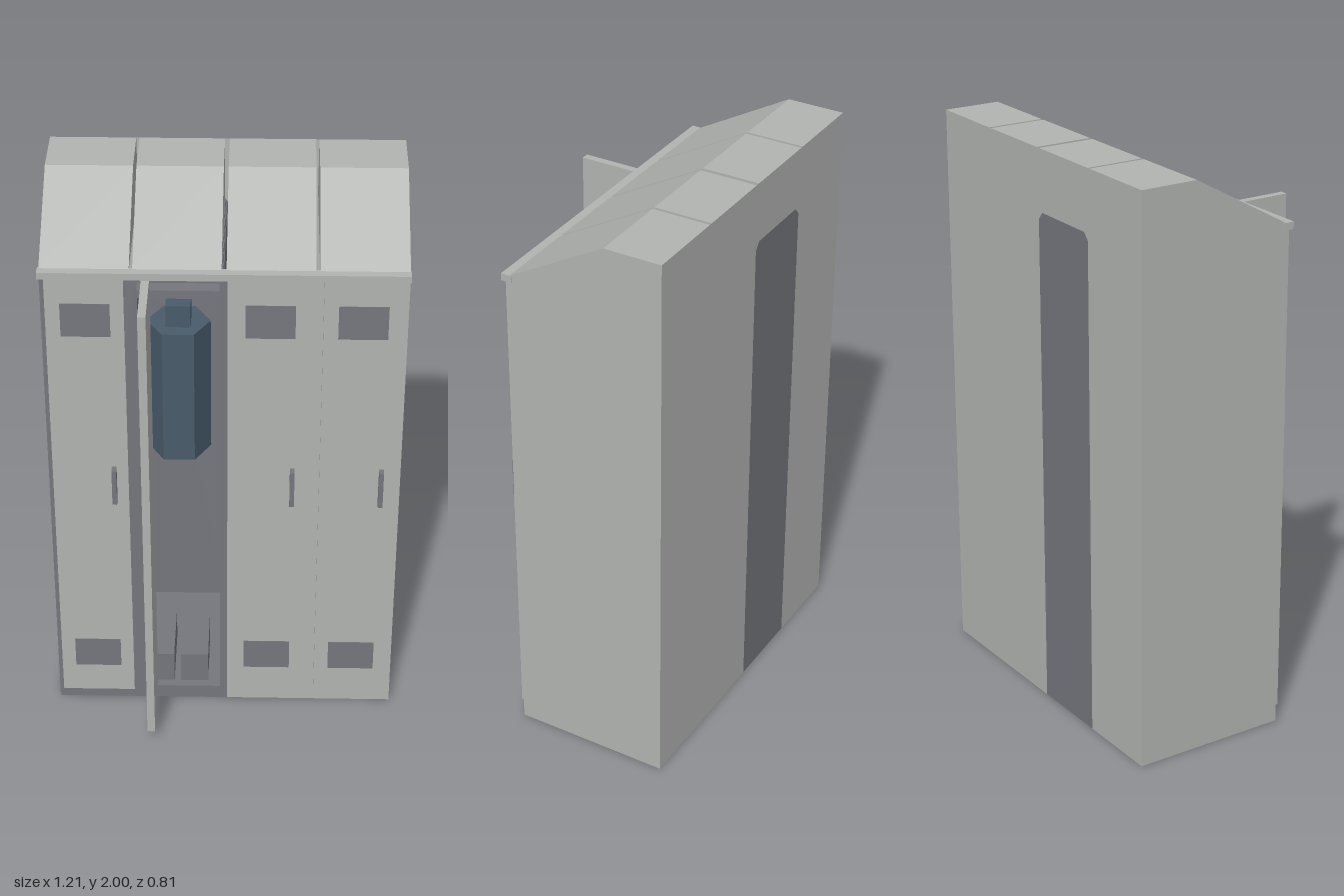
import * as THREE from 'three';

const mat = (name, color) => {
  const m = new THREE.MeshStandardMaterial({ color, side: THREE.DoubleSide, flatShading: true });
  m.name = name;
  return m;
};

export function createModel() {
  const root = new THREE.Group();
  root.name = 'lockerRow';
  const light = mat('lightGrey', 0xb2b4b2);
  const dark = mat('darkGrey', 0x75777d);
  const cloth = mat('blueCloth', 0x495b6b);

  const add = (name, geo, m, parent = root) => {
    const mesh = new THREE.Mesh(geo, m);
    mesh.name = name;
    parent.add(mesh);
    return mesh;
  };
  // Box given by its limits on each axis
  const box = (name, m, [x0, x1], [y0, y1], [z0, z1], parent) => {
    const mesh = add(name, new THREE.BoxGeometry(x1 - x0, y1 - y0, z1 - z0), m, parent);
    mesh.position.set((x0 + x1) / 2, (y0 + y1) / 2, (z0 + z1) / 2);
    return mesh;
  };
  const poly = pts => pts.map(p => new THREE.Vector2(...p));
  // Flat upright sheet at depth z, with an optional hole
  const sheet = (name, m, z, pts, hole) => {
    const s = new THREE.Shape(poly(pts));
    if (hole) s.holes.push(new THREE.Path(poly(hole)));
    add(name, new THREE.ShapeGeometry(s), m).position.z = z;
  };
  const rect = (x0, x1, y0, y1) => [[x0, y0], [x1, y0], [x1, y1], [x0, y1]];

  const W = 0.603, BACK = -0.405, FRONT = 0.155;

  // Outer shell, open underneath
  for (const s of [-1, 1]) {
    const side = add('sideWall', new THREE.PlaneGeometry(FRONT - BACK, 1.8), light);
    side.rotation.y = s * Math.PI / 2;
    side.position.set(s * W, 0.9, (FRONT + BACK) / 2);
  }
  const niche = [[-0.297, 0], [-0.297, 1.76], [-0.275, 1.785], [-0.022, 1.785], [0, 1.76], [0, 0]];
  sheet('backWall', light, BACK, [[-W, 0], ...niche, [W, 0], [W, 2], [-W, 2]]);
  sheet('openLockerBack', dark, BACK, niche);

  // Front frames
  sheet('leftFrame', light, FRONT, rect(0.01, W, 0, 1.8));
  sheet('rightFrame', dark, FRONT, rect(-W, 0.01, 0, 1.8), rect(-0.285, -0.016, 0.05, 1.76));
  box('frontLip', light, [-0.608, 0.605], [1.78, 1.805], [0.14, 0.177]);

  // Four sloping roof sections with gaps between
  const roof = new THREE.Shape(poly([[-BACK, 1.8], [-BACK, 2], [0.2, 2], [-0.15, 1.803], [-0.15, 1.8]]));
  for (const [x0, x1] of [[-W, -0.31], [-0.299, -0.009], [0.007, 0.298], [0.31, W]]) {
    const g = new THREE.ExtrudeGeometry(roof, { depth: x1 - x0, bevelEnabled: false });
    g.rotateY(Math.PI / 2);
    add('roofSection', g, light).position.x = x0;
  }

  // Closed doors with vents and handles
  const ventRows = [[0.165, 0.285], [1.565, 1.69]];
  for (const x of [-0.587, 0.021, 0.325]) {
    const door = new THREE.Group();
    door.name = 'closedDoor';
    root.add(door);
    box('doorPanel', light, [x, x + 0.259], [0.05, 1.78], [FRONT, 0.175], door);
    for (const y of ventRows)
      box('vent', dark, [x + 0.049, x + 0.213], y, [0.174, 0.177], door);
    box('handle', dark, [x + 0.203, x + 0.219], [0.905, 1.045], [0.174, 0.205], door);
  }

  // Door standing open
  const open = new THREE.Group();
  open.name = 'openDoor';
  root.add(open);
  box('doorPanel', light, [-0.27, -0.243], [0.05, 1.78], [FRONT, 0.405], open);
  for (const y of ventRows)
    box('vent', dark, [-0.272, -0.269], y, [0.21, 0.365], open);

  // Interior of the open locker
  for (const x of [-0.297, -0.001]) {
    const wall = add('innerWall', new THREE.PlaneGeometry(FRONT - BACK, 1.78), dark);
    wall.rotation.y = Math.PI / 2;
    wall.position.set(x, 0.89, (FRONT + BACK) / 2);
  }
  const depth = [BACK + 0.004, FRONT - 0.004];
  box('lockerFloor', dark, [-0.29, -0.008], [0.02, 0.05], depth);
  box('lockerCeiling', dark, [-0.296, -0.008], [1.76, 1.775], depth);
  box('shelf', dark, [-0.296, -0.008], [1.68, 1.71], [BACK + 0.004, 0.12]);

  // Hanging coat with collar
  const coat = new THREE.Group();
  coat.name = 'hangingCoat';
  coat.position.set(-0.157, 0, 0);
  root.add(coat);
  const body = add('coatBody', new THREE.CylinderGeometry(0.108, 0.108, 0.505, 6), cloth, coat);
  body.rotation.y = Math.PI / 6;
  body.position.y = 1.2725;
  box('collar', cloth, [-0.042, 0.042], [1.525, 1.605], [-0.045, 0.045], coat);

  // Pair of boots
  for (const x of [-0.284, -0.16])
    box('boot', dark, [x, x + 0.1], [0.05, 0.172], [-0.14, 0.12]);

  return root;
}
